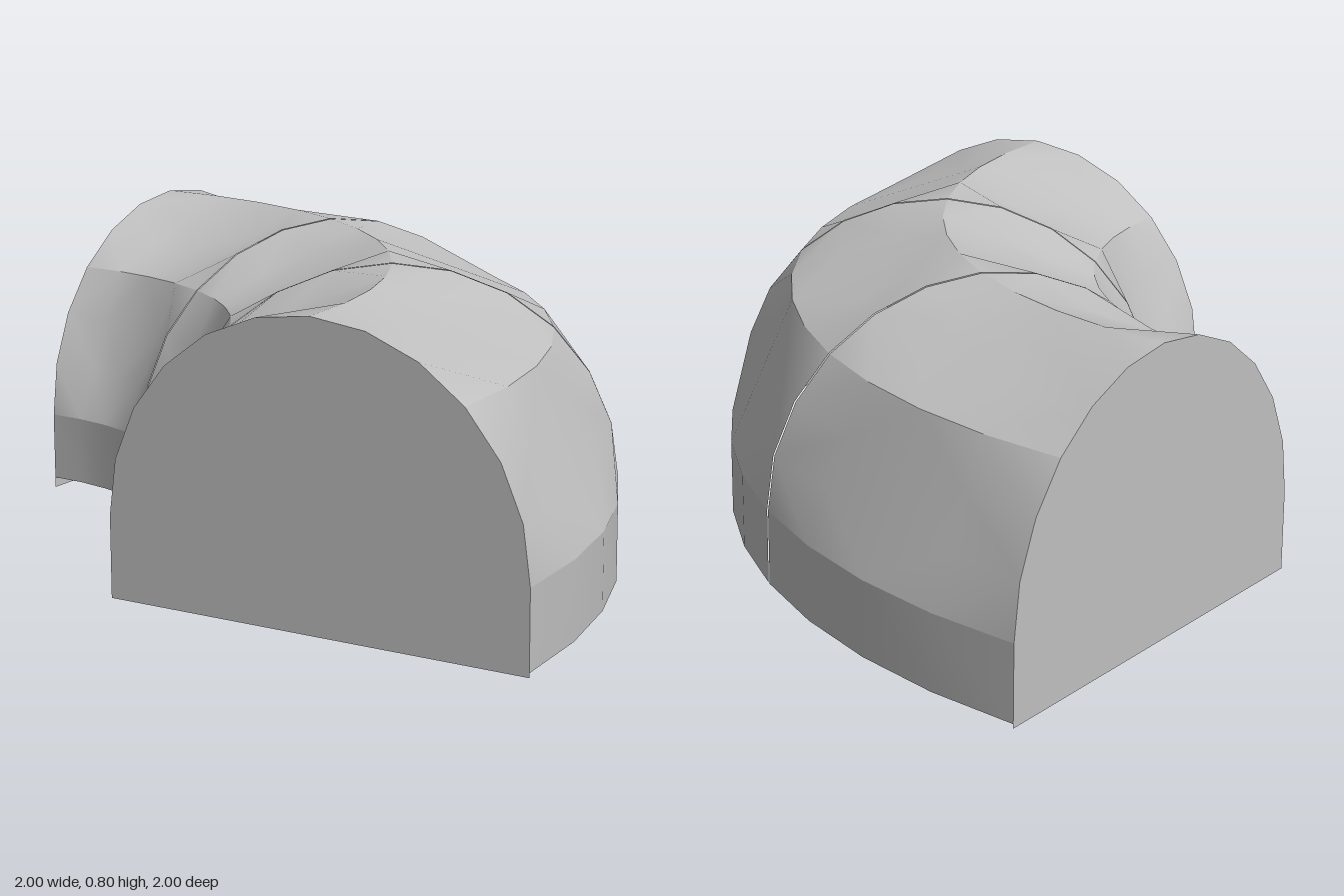
import * as THREE from 'three';

const MID = 1.395;        // bend radius of the centre line
const HALF = 0.605;       // half width of the arch
const WALL = 0.22;        // height of the upright walls
const RISE = 0.58;        // height of the arch above the walls
const INNER_FOOT = 0.03;  // clearance under the inner wall
const OUTER_FOOT = 0.012; // clearance under the outer wall
const SEAM = 0.002;       // half gap between sections, in radians
const ARC_STEPS = 4;      // facets along each section

// point [radius, height] on the arch; t runs 0 (inner) to 12 (outer)
const archPoint = (t) => {
  const a = Math.PI * (1 - t / 12);
  return [MID + HALF * Math.cos(a), WALL + RISE * Math.sin(a)];
};

// sweep around the bend from a0 to a1: endProfile at both ends, midProfile between
function sweep(endProfile, midProfile, a0, a1) {
  const pos = [], index = [], n = endProfile.length;
  for (let i = 0; i <= ARC_STEPS; i++) {
    const a = a0 + (a1 - a0) * i / ARC_STEPS;
    const profile = i === 0 || i === ARC_STEPS ? endProfile : midProfile;
    for (const [r, y] of profile) pos.push(r * Math.cos(a), y, -r * Math.sin(a));
  }
  for (let i = 0; i < ARC_STEPS; i++) {
    for (let j = 0; j < n - 1; j++) {
      const p = i * n + j, q = p + n;
      // diagonals cut across the panel corners
      if ((i < ARC_STEPS / 2) === (j < (n - 1) / 2)) index.push(p, p + 1, q, p + 1, q + 1, q);
      else index.push(p, p + 1, q + 1, p, q + 1, q);
    }
  }
  const geo = new THREE.BufferGeometry();
  geo.setAttribute('position', new THREE.Float32BufferAttribute(pos, 3));
  geo.setIndex(index);
  geo.computeVertexNormals();
  return geo;
}

// upright wall between two profile points
const wallGeometry = (from, to, a0, a1) => sweep([from, to], [from, to], a0, a1);

// roof panel: rounded at its ends, flattened to the chord between them
function panelGeometry(t, a0, a1) {
  const arc = [0, 1, 2, 3].map((j) => archPoint(t + j));
  const [r0, y0] = arc[0], [r1, y1] = arc[3];
  const chord = arc.map((_, j) => [r0 + (r1 - r0) * j / 3, y0 + (y1 - y0) * j / 3]);
  return sweep(arc, chord, a0, a1);
}

// flat arched end plate; side = -1 mirrors it
function capGeometry(side) {
  const outline = [[MID - HALF, 0]];
  for (let t = 0; t <= 12; t++) outline.push(archPoint(t));
  outline.push([MID + HALF, 0]);
  return new THREE.ShapeGeometry(
    new THREE.Shape(outline.map(([r, y]) => new THREE.Vector2(side * r, y))));
}

export function createModel() {
  const group = new THREE.Group();
  group.name = 'archedBend';
  const grey = new THREE.MeshStandardMaterial({ color: 0xc0c0c0, side: THREE.DoubleSide });
  grey.name = 'grey';
  const add = (parent, name, geo) => {
    const mesh = new THREE.Mesh(geo, grey);
    mesh.name = name;
    parent.add(mesh);
    return mesh;
  };

  const bend = new THREE.Group();
  bend.name = 'bend';
  bend.position.set(-1, 0, 1);
  group.add(bend);

  // three 30 degree sections with thin seams between them
  for (let s = 0; s < 3; s++) {
    const section = new THREE.Group();
    section.name = 'section' + (s + 1);
    bend.add(section);
    const a0 = s * Math.PI / 6 + (s > 0 ? SEAM : 0);
    const a1 = (s + 1) * Math.PI / 6 - (s < 2 ? SEAM : 0);
    const rIn = MID - HALF, rOut = MID + HALF;

    // upright walls
    add(section, 'innerWall', wallGeometry([rIn, INNER_FOOT], [rIn, WALL], a0, a1));
    add(section, 'outerWall', wallGeometry([rOut, WALL], [rOut, OUTER_FOOT], a0, a1));

    // four roof panels across the arch
    ['innerHaunch', 'innerCrown', 'outerCrown', 'outerHaunch'].forEach((name, k) => {
      add(section, name, panelGeometry(k * 3, a0, a1));
    });
  }

  // closed ends, open underside
  add(bend, 'frontCap', capGeometry(1));
  add(bend, 'sideCap', capGeometry(-1)).rotation.y = -Math.PI / 2;

  return group;
}
